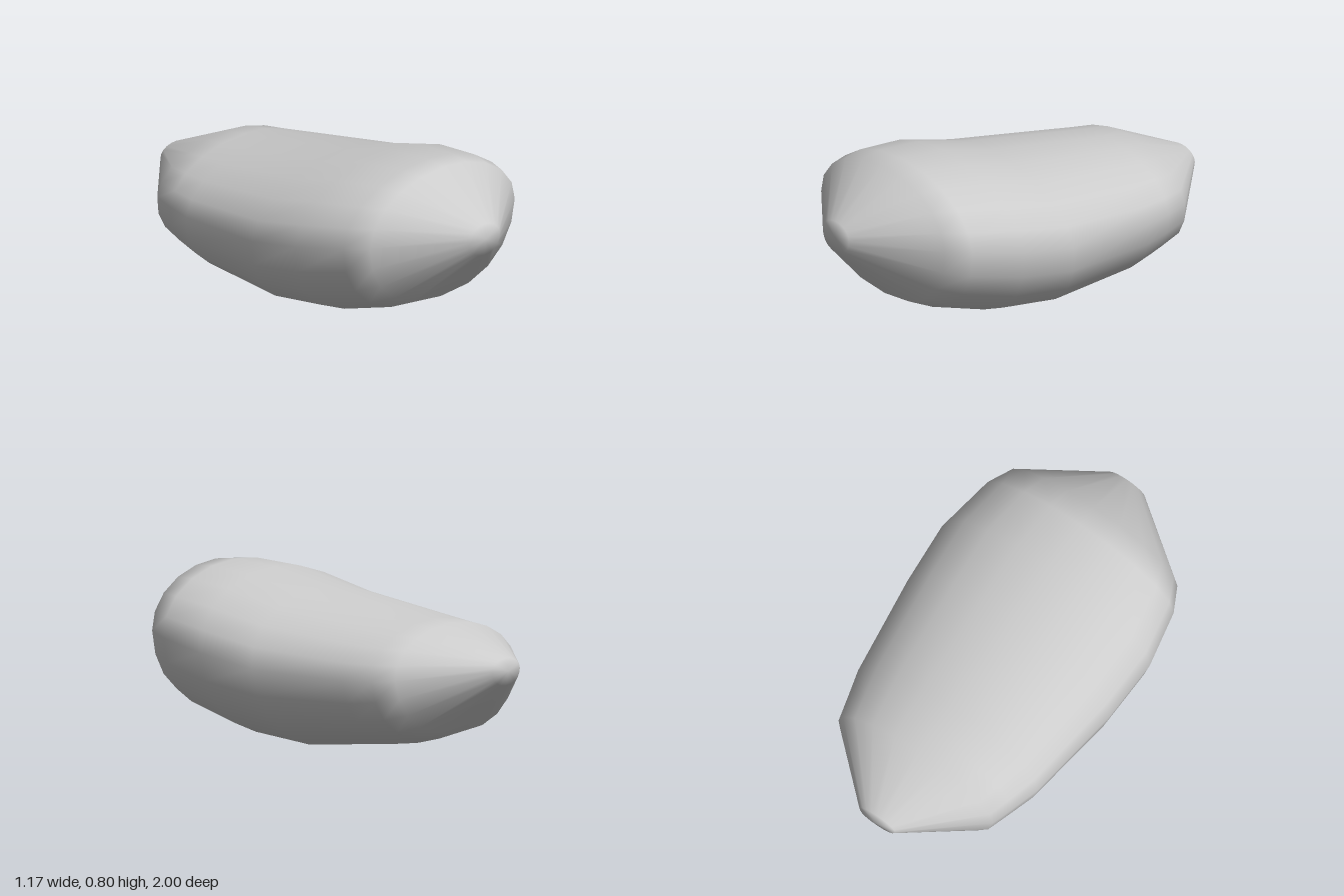
import * as THREE from 'three';

// Cross-sections, front to back: z at top, z at bottom, half width, bottom y, top y
const SECTIONS = [
  [0.99, 0.99, 0.10, 0.425, 0.575],
  [0.73, 0.71, 0.475, 0.155, 0.79],
  [0.62, 0.59, 0.535, 0.105, 0.80],
  [0.38, 0.31, 0.585, 0.03, 0.785],
  [0.10, 0.00, 0.57, 0.00, 0.72],
  [-0.40, -0.46, 0.505, 0.045, 0.65],
  [-0.55, -0.59, 0.465, 0.077, 0.632],
  [-0.66, -0.71, 0.433, 0.118, 0.62],
  [-0.985, -0.985, 0.10, 0.36, 0.487],
];
const SIDES = 20;
const WAIST = 0.56; // height of the widest point within each section

function loftBody() {
  const positions = [];
  const index = [];

  // Rings: elliptical above the widest point, fuller below it
  for (const [zTop, zBottom, halfWidth, bottom, top] of SECTIONS) {
    const waistY = bottom + (top - bottom) * WAIST;
    for (let i = 0; i < SIDES; i++) {
      const a = (i / SIDES) * Math.PI * 2;
      const s = Math.sin(a);
      const c = Math.cos(a);
      const x = Math.sign(s) * Math.pow(Math.abs(s), c < 0 ? 0.82 : 1) * halfWidth;
      const y = waistY + c * (c > 0 ? top - waistY : waistY - bottom);
      const z = THREE.MathUtils.lerp(zBottom, zTop, (y - bottom) / (top - bottom));
      positions.push(x, y, z);
    }
  }

  // Skin between neighbouring rings
  for (let r = 0; r < SECTIONS.length - 1; r++) {
    for (let i = 0; i < SIDES; i++) {
      const j = (i + 1) % SIDES;
      const a = r * SIDES + i;
      const b = r * SIDES + j;
      index.push(a, b, a + SIDES, b, b + SIDES, a + SIDES);
    }
  }

  // Blunt tips closing both ends
  const front = positions.length / 3;
  positions.push(0, 0.505, 1, 0, 0.428, -1);
  const last = (SECTIONS.length - 1) * SIDES;
  for (let i = 0; i < SIDES; i++) {
    const j = (i + 1) % SIDES;
    index.push(front, j, i, front + 1, last + i, last + j);
  }

  const geometry = new THREE.BufferGeometry();
  geometry.setAttribute('position', new THREE.Float32BufferAttribute(positions, 3));
  geometry.setIndex(index);
  geometry.computeVertexNormals();
  return geometry;
}

export function createModel() {
  const group = new THREE.Group();
  group.name = 'smoothPebble';
  const body = new THREE.Mesh(loftBody(), new THREE.MeshStandardMaterial({ color: 0xcccccc }));
  body.name = 'body';
  group.add(body);
  return group;
}
